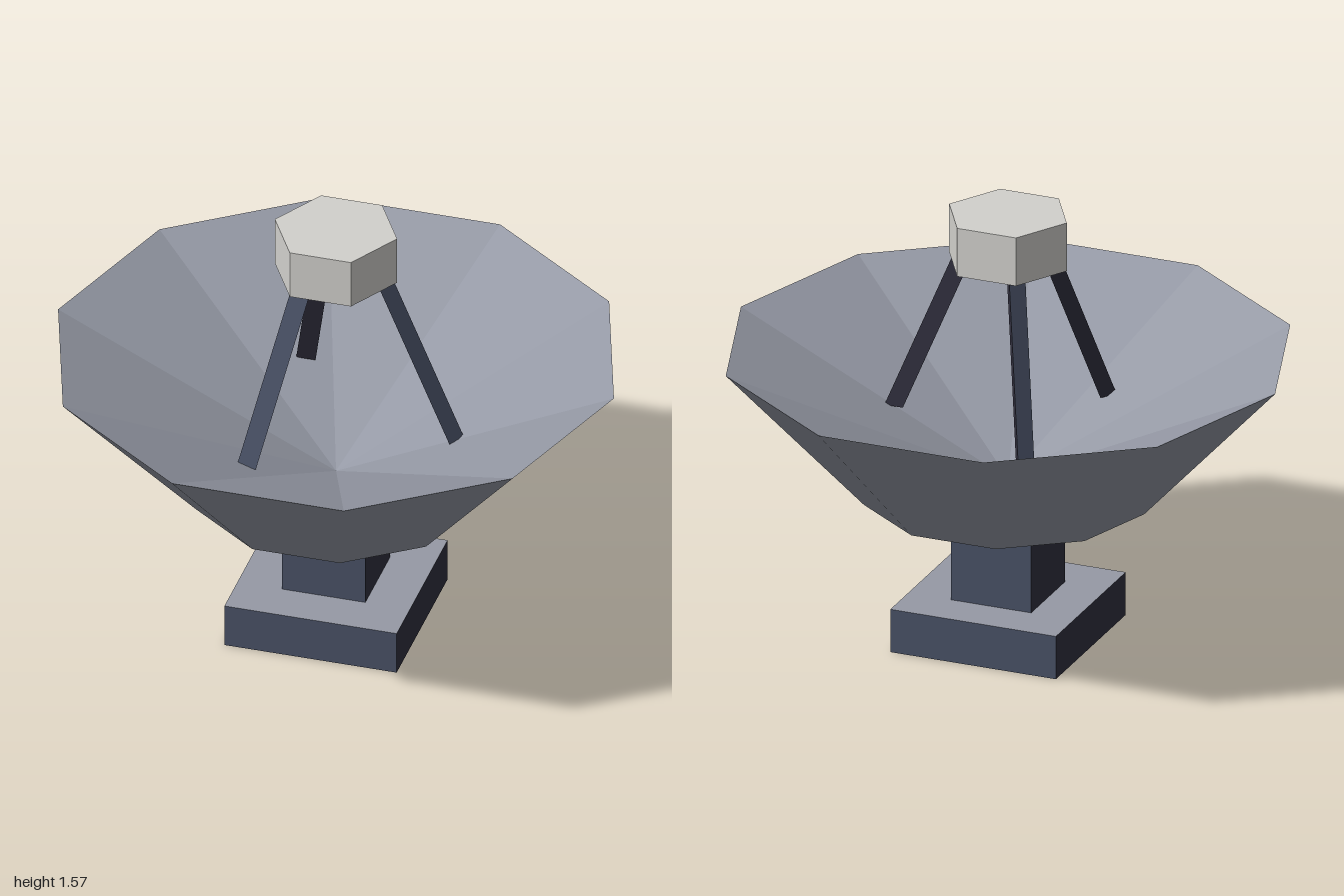
import * as THREE from 'three';

const mat = (name, color) => {
  const m = new THREE.MeshStandardMaterial({ color });
  m.name = name;
  return m;
};

// Faceted copy: every face keeps its own normal
const facet = (geo) => {
  const g = geo.toNonIndexed();
  g.computeVertexNormals();
  return g;
};

export function createModel() {
  const group = new THREE.Group();
  const grey = mat('panelGrey', 0x969aa6);
  const blue = mat('slateBlue', 0x495166);
  const dark = mat('darkViolet', 0x31303f);
  const pale = mat('paleGrey', 0xd2d1cd);

  const add = (name, geo, material, y = 0) => {
    const mesh = new THREE.Mesh(geo, material);
    mesh.name = name;
    mesh.position.y = y;
    group.add(mesh);
    return mesh;
  };

  // Foot and pedestal: dark sides, blue front and back, grey top
  const boxMats = [dark, dark, grey, dark, blue, blue];
  add('foot', new THREE.BoxGeometry(0.62, 0.16, 0.62), boxMats, 0.08);
  add('pedestal', new THREE.BoxGeometry(0.3, 0.315, 0.3), boxMats, 0.3175);

  // Square tapered neck running up into the dish
  const neck = new THREE.CylinderGeometry(0.1 * Math.SQRT2, 0.15 * Math.SQRT2, 0.06, 4, 1, true, Math.PI / 4);
  add('neck', facet(neck), grey, 0.505);

  // Ten-sided dish: outer shell, flat underside, conical bowl
  const start = Math.PI / 2;
  const rimY = 1.06, floorY = 0.53, apexY = 0.58;
  add('dishShell', facet(new THREE.CylinderGeometry(1, 0.51, rimY - floorY, 10, 1, true, start)), grey, (rimY + floorY) / 2);
  const underside = new THREE.CircleGeometry(0.51, 10);
  underside.rotateX(Math.PI / 2);
  add('dishUnderside', underside, blue, floorY);
  // negative height turns the cone over so that its inside faces show
  add('dishBowl', facet(new THREE.CylinderGeometry(0, 1, apexY - rimY, 10, 1, true, start)), grey, (rimY + apexY) / 2);

  // Three leaning triangular struts, outer face blue and the rest dark
  const lowY = 0.79, highY = 1.46, lowR = 0.42, highR = 0.135;
  const strut = (name, angle, turn) => {
    const base = new THREE.CylinderGeometry(0.04, 0.04, highY - lowY, 3, 1, false, turn).toNonIndexed();
    const p = base.attributes.position;
    for (let i = 0; i < p.count; i++) {
      const t = p.getY(i) / (highY - lowY) + 0.5;
      const r = THREE.MathUtils.lerp(lowR, highR, t);
      p.setX(i, p.getX(i) + r * Math.cos(angle));
      p.setZ(i, p.getZ(i) + r * Math.sin(angle));
    }
    base.computeVertexNormals();
    base.clearGroups();
    base.addGroup(0, 6, 0);
    base.addGroup(6, p.count - 6, 1);
    add(name, base, [blue, dark], (lowY + highY) / 2);
  };
  const third = (2 * Math.PI) / 3;
  strut('leftStrut', 0, 0);
  strut('frontStrut', third, -Math.PI / 3);
  strut('backStrut', -third, Math.PI);

  // Hexagonal receiver held above the bowl
  add('receiver', facet(new THREE.CylinderGeometry(0.22, 0.22, 0.18, 6, 1, false, start)), pale, 1.483);

  return group;
}
